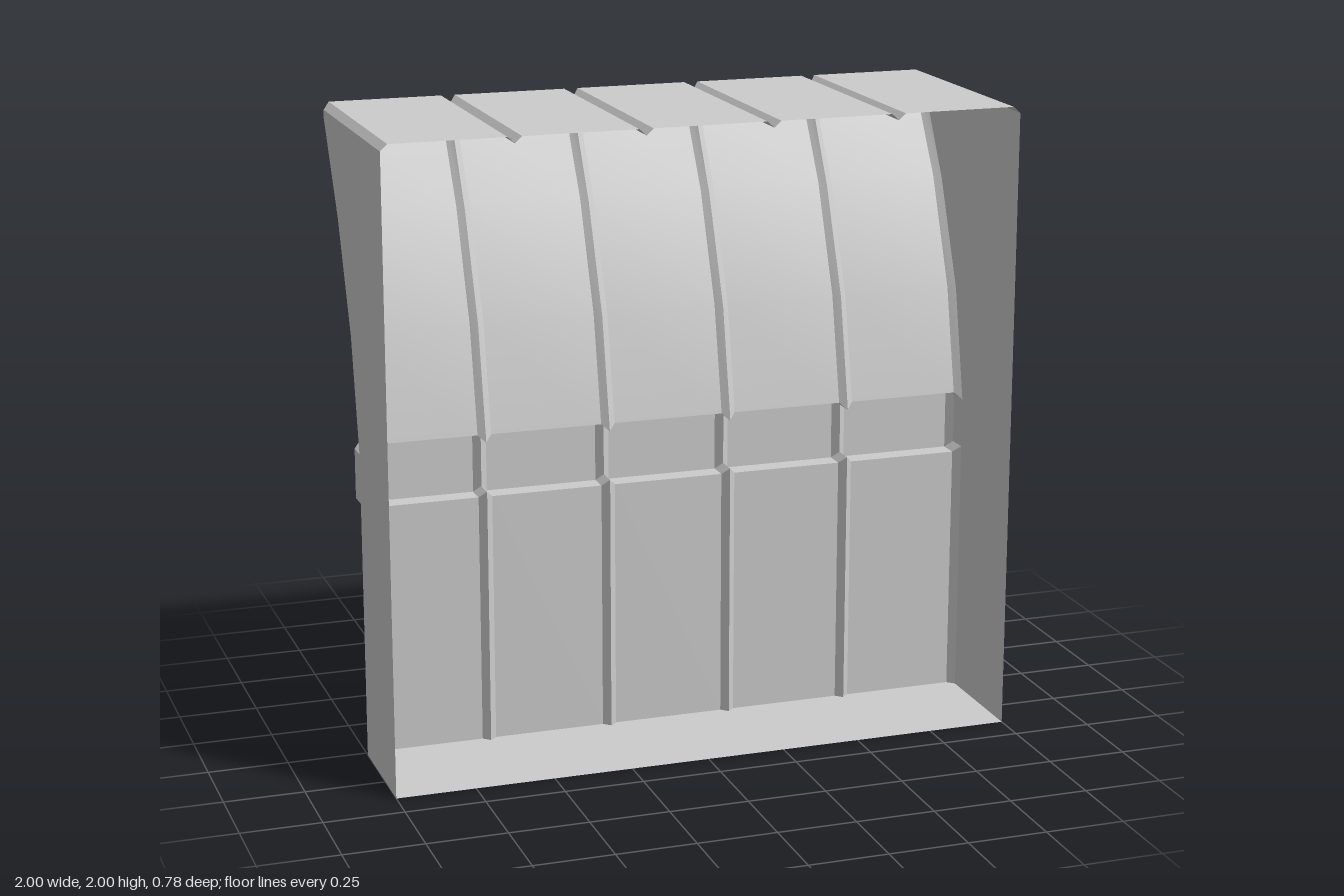
import * as THREE from 'three';
import { toCreasedNormals } from 'three/addons/utils/BufferGeometryUtils.js';

const PANELS = 5, WIDTH = 2, BEVEL = 0.022, FRONT = 0.39;

// Wall profiles as [z, y]: front of the top, over the back, down to the floor.
const outer = [
  [FRONT, 2], [-0.372, 2], [-0.388, 1.975], [-0.21, 1.68], [-0.075, 1.34], [-0.003, 1],
  [-0.068, 1], [-0.068, 0.8], [-0.003, 0.8], [-0.003, 0], [FRONT, 0],
];
// The same profile sunk to the bottom of the grooves.
const inner = [
  [FRONT, 1.98], [-0.345, 1.98], [-0.35, 1.957], [-0.19, 1.672], [-0.055, 1.334], [0.018, 0.98],
  [-0.048, 0.98], [-0.048, 0.822], [0.018, 0.822], [0.018, 0], [FRONT, 0],
];

// Profile point ranges that make up each part of a panel.
const parts = {
  topSlab: [0, 1], topBevel: [1, 2], curvedCove: [2, 5],
  trimBand: [5, 8], lowerWall: [8, 9], floor: [9, 10],
};

const material = new THREE.MeshStandardMaterial({ color: 0xcccccc, side: THREE.DoubleSide });

// Skin between cross-sections, each { x, profile }, over points from..to.
function loft(stations, from, to) {
  const pos = [];
  const point = (i, j) => [stations[i].x, stations[i].profile[j][1], stations[i].profile[j][0]];
  for (let i = 0; i < stations.length - 1; i++) {
    for (let j = from; j < to; j++) {
      const a = point(i, j), b = point(i + 1, j), c = point(i + 1, j + 1), d = point(i, j + 1);
      pos.push(...a, ...b, ...c, ...a, ...c, ...d);
    }
  }
  const geo = new THREE.BufferGeometry();
  geo.setAttribute('position', new THREE.Float32BufferAttribute(pos, 3));
  return toCreasedNormals(geo, 0.35);
}

export function createModel() {
  const group = new THREE.Group();
  group.name = 'covedWall';

  // Five panels with chamfered sides that meet in V grooves
  const w = WIDTH / PANELS;
  for (let p = 0; p < PANELS; p++) {
    const x0 = -WIDTH / 2 + p * w, x1 = x0 + w;
    const stations = [
      { x: x0, profile: inner }, { x: x0 + BEVEL, profile: outer },
      { x: x1 - BEVEL, profile: outer }, { x: x1, profile: inner },
    ];
    const panel = new THREE.Group();
    panel.name = `panel${p + 1}`;
    for (const [name, [from, to]] of Object.entries(parts)) {
      const mesh = new THREE.Mesh(loft(stations, from, to), material);
      mesh.name = name;
      panel.add(mesh);
    }
    group.add(panel);
  }

  // Flat end walls; the front stays open
  for (const s of [-1, 1]) {
    const shape = new THREE.Shape(inner.map(([z, y]) => new THREE.Vector2(-s * z, y)));
    const wall = new THREE.Mesh(new THREE.ShapeGeometry(shape), material);
    wall.name = s > 0 ? 'leftEndWall' : 'rightEndWall';
    wall.rotation.y = s * Math.PI / 2;
    wall.position.x = s * WIDTH / 2;
    group.add(wall);
  }
  return group;
}
